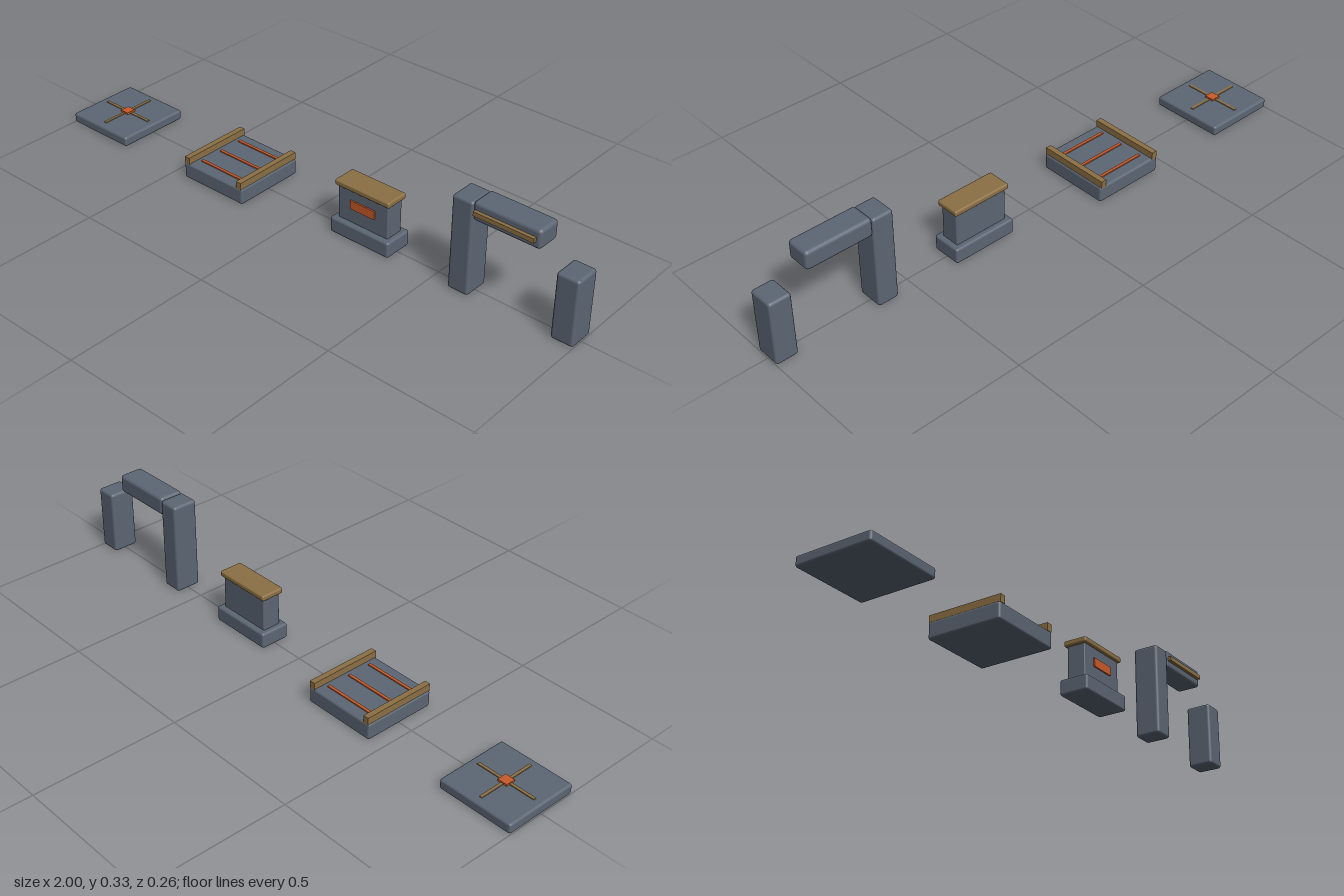
import * as THREE from 'three';
import { RoundedBoxGeometry } from 'three/addons/geometries/RoundedBoxGeometry.js';

const material = (name, color) => {
  const m = new THREE.MeshStandardMaterial({ color });
  m.name = name;
  return m;
};

export function createModel() {
  const stone = material('slate stone', 0x5c6674);
  const bronze = material('aged bronze', 0x8c7044);
  const ember = material('ember orange', 0xc8592a);

  const model = new THREE.Group();
  model.name = 'ruinKit';

  const group = (name, x) => {
    const g = new THREE.Group();
    g.name = name;
    g.position.x = x;
    model.add(g);
    return g;
  };

  // Block standing on y0, sized w x h x d; radius 0 gives a sharp box
  const block = (parent, name, mat, [w, h, d], [x, y0, z], radius = 0) => {
    const geo = radius
      ? new RoundedBoxGeometry(w, h, d, 3, radius)
      : new THREE.BoxGeometry(w, h, d);
    const mesh = new THREE.Mesh(geo, mat);
    mesh.name = name;
    mesh.position.set(x, y0 + h / 2, z);
    parent.add(mesh);
  };

  // Floor tile with a crossed inlay and a centre stud
  const tile = group('floorTile', -0.868);
  block(tile, 'tileSlab', stone, [0.264, 0.035, 0.262], [0, 0, 0], 0.008);
  block(tile, 'inlayAcross', bronze, [0.21, 0.005, 0.01], [0, 0.033, 0]);
  block(tile, 'inlayAlong', bronze, [0.01, 0.005, 0.21], [0, 0.033, 0]);
  block(tile, 'centreStud', ember, [0.034, 0.009, 0.034], [0, 0.033, 0]);

  // Bridge section with two side rails and three glowing strips
  const bridge = group('bridgeSection', -0.32);
  block(bridge, 'bridgeDeck', stone, [0.26, 0.057, 0.258], [0, 0, 0], 0.008);
  for (const side of [-1, 1]) {
    block(bridge, 'sideRail', bronze, [0.02, 0.026, 0.258], [side * 0.116, 0.054, 0]);
  }
  for (const z of [-0.085, 0, 0.085]) {
    block(bridge, 'deckStrip', ember, [0.18, 0.006, 0.01], [0, 0.055, z]);
  }

  // Pedestal with a bronze cap and a front plaque
  const pedestal = group('pedestal', 0.23);
  block(pedestal, 'pedestalBase', stone, [0.23, 0.055, 0.104], [0, 0, 0], 0.008);
  block(pedestal, 'pedestalBody', stone, [0.195, 0.12, 0.066], [0, 0.052, 0], 0.004);
  block(pedestal, 'pedestalCap', bronze, [0.212, 0.02, 0.084], [0, 0.17, 0], 0.006);
  block(pedestal, 'plaque', ember, [0.095, 0.03, 0.008], [0, 0.105, 0.034]);

  // Broken arch: tall pillar with lintel, and a shorter detached pillar
  const arch = group('brokenArch', 0.78);
  block(arch, 'tallPillar', stone, [0.074, 0.325, 0.09], [-0.179, 0, 0], 0.01);
  block(arch, 'lintel', stone, [0.23, 0.065, 0.086], [-0.029, 0.266, 0], 0.012);
  block(arch, 'lintelInlay', bronze, [0.205, 0.015, 0.014], [-0.032, 0.291, 0.048]);
  block(arch, 'shortPillar', stone, [0.076, 0.226, 0.09], [0.182, 0, 0], 0.01);

  return model;
}
